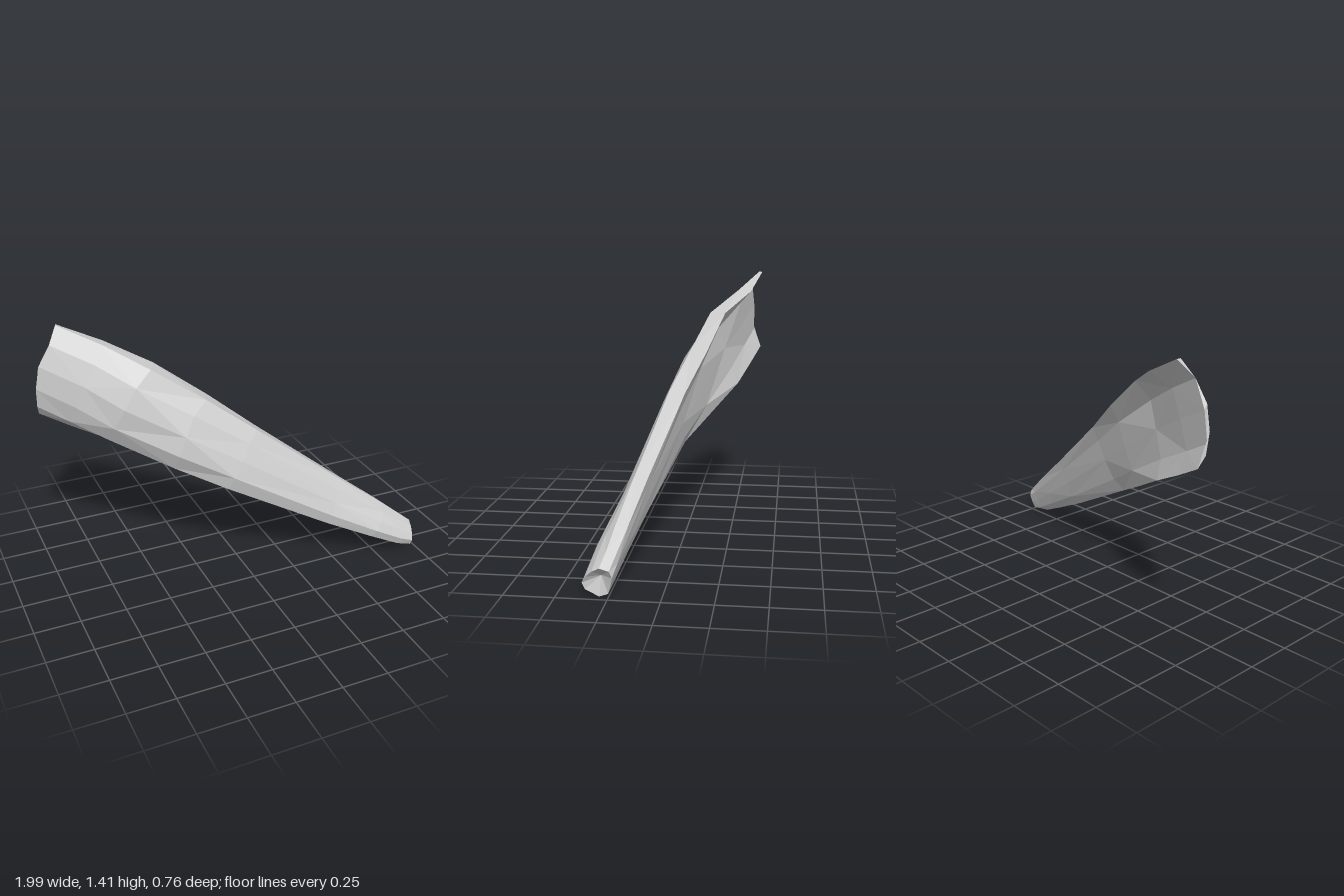
import * as THREE from 'three';

// Stations along the shard: top edge, lower edge, front bulge, back bulge,
// half width of the top rim, and how far the front bulge sags towards the lower edge
const STATIONS = [
  { top: [-0.855, 1.415, -0.37], low: [-0.985, 0.935, -0.37], front: 0.08, back: -0.06, rim: 0.01, sag: 0.2 },
  { top: [-0.64, 1.315, -0.285], low: [-0.82, 0.85, -0.315], front: 0.13, back: -0.05, rim: 0.04, sag: 0.3 },
  { top: [-0.42, 1.2, -0.14], low: [-0.62, 0.755, -0.25], front: 0.17, back: -0.025, rim: 0.05, sag: 0.4 },
  { top: [-0.15, 1.01, -0.055], low: [-0.34, 0.61, -0.1], front: 0.185, back: 0.01, rim: 0.05, sag: 0.65 },
  { top: [0.1, 0.82, 0.035], low: [-0.12, 0.5, 0.015], front: 0.145, back: 0.025, rim: 0.045, sag: 1 },
  { top: [0.55, 0.48, 0.155], low: [0.42, 0.23, 0.165], front: 0.115, back: 0.03, rim: 0.035, sag: 1 },
  { top: [0.8, 0.295, 0.215], low: [0.7, 0.1, 0.24], front: 0.115, back: 0.035, rim: 0.03, sag: 1 },
  { top: [0.92, 0.2, 0.245], low: [0.88, 0.02, 0.28], front: 0.105, back: 0.04, rim: 0.025, sag: 1 },
  { top: [0.99, 0.145, 0.265], low: [0.962, 0.003, 0.295], front: 0.095, back: 0.045, rim: 0.025, sag: 1 },
];

// Cross-section: position from top to low edge, which station value scales the depth,
// and the depth when the bulge is high and when it sags
const PROFILE = [
  [0, 'rim', 1, 1], [0.2, 'front', 0.78, 0.62], [0.45, 'front', 1, 0.88], [0.7, 'front', 0.87, 1], [0.9, 'front', 0.5, 0.78],
  [1, 'front', 0, 0],
  [0.8, 'back', -0.9, -0.9], [0.5, 'back', -1, -1], [0.2, 'back', -1, -1], [0, 'rim', -1, -1],
];

// Small repeatable unevenness for the chipped faces
const uneven = (i, j) => Math.sin(i * 12.9 + j * 7.3 + 1.7);

function sectionRings() {
  const ends = STATIONS.map((s) => [new THREE.Vector3(...s.top), new THREE.Vector3(...s.low)]);
  const mids = ends.map(([t, l]) => t.clone().lerp(l, 0.5));
  const last = mids.length - 1;
  return STATIONS.map((s, i) => {
    const [top, low] = ends[i];
    const along = mids[Math.min(i + 1, last)].clone().sub(mids[Math.max(i - 1, 0)]).normalize();
    const out = along.clone().cross(top.clone().sub(low)).normalize();
    return PROFILE.map(([u, side, high, sagged], j) => {
      const depth = s[side] * THREE.MathUtils.lerp(high, sagged, s.sag);
      const p = top.clone().lerp(low, u).addScaledVector(out, depth);
      if (i > 0 && i < last - 1 && u > 0 && u < 1) {
        p.addScaledVector(out, 0.005 * uneven(i, j));
        p.addScaledVector(along, 0.035 * uneven(j, i));
      }
      // Rounded, ragged wide end
      if (i === 0) p.addScaledVector(along, -0.045 * Math.sin(Math.PI * u) + (u === 0.2 ? 0.015 : 0));
      return p;
    });
  });
}

function shardGeometry() {
  const rings = sectionRings();
  const n = PROFILE.length;
  const last = rings.length - 1;
  const pos = [];
  const tri = (...pts) => pts.forEach((p) => pos.push(p.x, p.y, p.z));
  const quad = (a, b, c, d) => { tri(a, b, c); tri(a, c, d); };

  // Outer faces
  for (let i = 0; i < last; i++) {
    for (let j = 0; j < n; j++) {
      const k = (j + 1) % n;
      const a = rings[i][j], b = rings[i][k], c = rings[i + 1][k], d = rings[i + 1][j];
      if ((i + j) % 2) quad(a, b, c, d);
      else quad(b, c, d, a);
    }
  }
  // Thin broken edge at the wide end
  const w = rings[0];
  for (let j = 0; j < 4; j++) quad(w[j], w[n - 1 - j], w[n - 2 - j], w[j + 1]);
  // Hollowed narrow end
  const e = rings[last];
  const centre = e.reduce((s, p) => s.add(p), new THREE.Vector3()).divideScalar(n);
  centre.add(new THREE.Vector3(-0.035, 0.02, -0.01));
  for (let j = 0; j < n; j++) tri(centre, e[j], e[(j + 1) % n]);

  const g = new THREE.BufferGeometry();
  g.setAttribute('position', new THREE.Float32BufferAttribute(pos, 3));
  g.computeVertexNormals();
  return g;
}

export function createModel() {
  const group = new THREE.Group();
  group.name = 'splinter';
  const paleGrey = new THREE.MeshStandardMaterial({ color: 0xcccccc, flatShading: true, side: THREE.DoubleSide });
  paleGrey.name = 'pale grey';
  const shard = new THREE.Mesh(shardGeometry(), paleGrey);
  shard.name = 'curvedShard';
  group.add(shard);
  return group;
}
